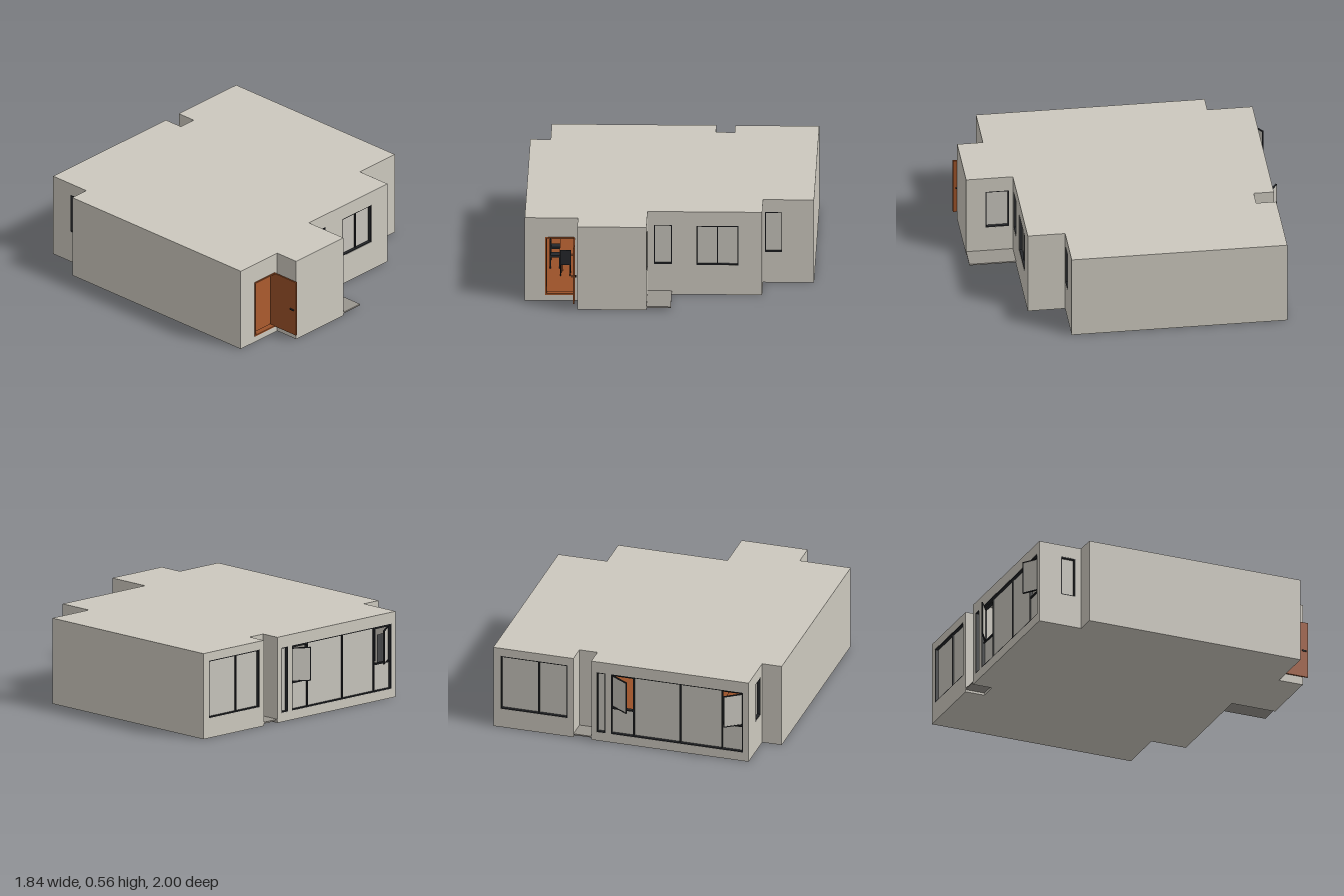
import * as THREE from 'three';

const mat = (name, color) => {
  const m = new THREE.MeshStandardMaterial({ color });
  m.name = name;
  return m;
};
const M = {
  wall: mat('plaster', 0xccc8be),
  glass: mat('pane', 0xc6c3bb),
  frame: mat('dark frame', 0x25272a),
  wood: mat('wood', 0x9a5128),
  ledge: mat('ledge grey', 0x99958e),
  curtain: mat('curtain grey', 0x85878a),
  white: mat('white', 0xe8e8e6),
};

const H = 0.56, BASE = 0.035, ROOF = 0.545, T = 0.035;

// Footprint as [x, z], running left to right along the front
const plan = [
  [-0.92, 0.81], [-0.58, 0.81], [-0.58, 0.975], [-0.14, 0.975], [-0.14, 0.675],
  [0.59, 0.675], [0.59, 0.435], [0.915, 0.435], [0.915, -0.95], [0.38, -0.95],
  [0.38, -0.82], [0.26, -0.82], [0.26, -0.95], [-0.79, -0.95], [-0.79, -0.66], [-0.92, -0.66],
];

// Openings by wall index: [u0, u1, y0, y1, mullions], u measured along the wall
const openings = {
  0: [{ r: [0.13, 0.32, 0.04, 0.43], kind: 'door' }],
  3: [{ r: [0.125, 0.275, 0.195, 0.46] }],
  4: [{ r: [0.04, 0.155, 0.205, 0.47] }, { r: [0.31, 0.58, 0.2, 0.465], mullions: [0.445] }],
  6: [{ r: [0.012, 0.122, 0.205, 0.475] }],
  8: [{ r: [0.05, 0.495, 0.13, 0.505], mullions: [0.3] }],
  12: [
    { r: [0.036, 0.095, 0.06, 0.485] },
    { r: [0.13, 1.012, 0.06, 0.485], mullions: [0.28, 0.59, 0.868], kind: 'sashes' },
  ],
  13: [{ r: [0.15, 0.25, 0.215, 0.48] }],
};

function add(parent, name, geometry, material, x = 0, y = 0, z = 0) {
  const mesh = new THREE.Mesh(geometry, material);
  mesh.name = name;
  mesh.position.set(x, y, z);
  parent.add(mesh);
  return mesh;
}

// Box given by its limits on each axis
function box(parent, name, material, x0, x1, y0, y1, z0, z1) {
  return add(parent, name, new THREE.BoxGeometry(x1 - x0, y1 - y0, z1 - z0), material,
    (x0 + x1) / 2, (y0 + y1) / 2, (z0 + z1) / 2);
}

function slab(parent, name, y0, y1) {
  const shape = new THREE.Shape(plan.map(([x, z]) => new THREE.Vector2(x, -z)));
  const g = new THREE.ExtrudeGeometry(shape, { depth: y1 - y0, bevelEnabled: false });
  g.rotateX(-Math.PI / 2);
  add(parent, name, g, M.wall, 0, y0, 0);
}

// Rectangular border of four bars
function border(parent, name, material, [u0, u1, y0, y1], w, z0, z1) {
  box(parent, name, material, u0, u0 + w, y0, y1, z0, z1);
  box(parent, name, material, u1 - w, u1, y0, y1, z0, z1);
  box(parent, name, material, u0 + w, u1 - w, y0, y0 + w, z0, z1);
  box(parent, name, material, u0 + w, u1 - w, y1 - w, y1, z0, z1);
}

function fillOpening(parent, { r, mullions = [], kind }) {
  const g = new THREE.Group();
  g.name = kind === 'door' ? 'doorFrame' : 'window';
  parent.add(g);
  if (kind === 'door') {
    border(g, 'doorFrame', M.wood, r, 0.01, -T, 0.004);
    return;
  }
  const [u0, u1, y0, y1] = r;
  border(g, 'windowFrame', M.frame, r, 0.006, -T, -0.001);
  for (const u of mullions) box(g, 'mullion', M.frame, u - 0.004, u + 0.004, y0, y1, -T, -0.012);
  const edges = [u0, ...mullions, u1];
  for (let i = 0; i + 1 < edges.length; i++) {
    const opened = kind === 'sashes' && (i === 0 || i + 2 === edges.length);
    box(g, 'windowPane', M.glass, edges[i], edges[i + 1], y0, opened ? 0.235 : y1, -0.027, -0.021);
    if (opened) {
      box(g, 'transom', M.frame, edges[i], edges[i + 1], 0.233, 0.242, -T, -0.012);
      box(g, 'headRail', M.frame, edges[i], edges[i + 1], 0.467, y1, -T, -0.015);
    }
  }
}

// Wall between two plan corners, with its openings cut through
function wall(parent, a, b, list) {
  const dx = b[0] - a[0], dz = b[1] - a[1], len = Math.hypot(dx, dz);
  const g = new THREE.Group();
  g.name = 'wall';
  g.position.set(a[0], 0, a[1]);
  g.rotation.y = Math.atan2(-dz, dx);
  parent.add(g);
  const rect = (S, [u0, u1, y0, y1]) => new S([[u0, y0], [u1, y0], [u1, y1], [u0, y1]]
    .map(([u, y]) => new THREE.Vector2(u, y)));
  const shape = rect(THREE.Shape, [0, len, BASE, ROOF]);
  for (const o of list) shape.holes.push(rect(THREE.Path, o.r));
  add(g, 'wallPanel', new THREE.ExtrudeGeometry(shape, { depth: T, bevelEnabled: false }), M.wall, 0, 0, -T);
  for (const o of list) fillOpening(g, o);
}

// Open casement swung outward from its hinge
function openSash(parent, x, z, tipX, tipZ) {
  const g = new THREE.Group();
  g.name = 'openSash';
  g.position.set(x, 0, z);
  g.rotation.y = Math.atan2(z - tipZ, tipX - x);
  parent.add(g);
  const len = Math.hypot(tipX - x, tipZ - z);
  border(g, 'sashFrame', M.frame, [0, len, 0.245, 0.465], 0.006, -0.005, 0.005);
  box(g, 'sashPane', M.glass, 0.005, len - 0.005, 0.25, 0.46, -0.003, 0.003);
}

function chair(parent, x, z, turn) {
  const g = new THREE.Group();
  g.name = 'chair';
  g.position.set(x, 0.038, z);
  g.rotation.y = turn;
  parent.add(g);
  box(g, 'chairSeat', M.frame, -0.035, 0.035, 0.075, 0.087, -0.035, 0.035);
  box(g, 'chairBack', M.frame, -0.035, 0.035, 0.087, 0.175, -0.035, -0.027);
  for (const sx of [-1, 1]) for (const sz of [-1, 1])
    box(g, 'chairLeg', M.frame, sx * 0.03 - 0.004, sx * 0.03 + 0.004, 0, 0.075, sz * 0.03 - 0.004, sz * 0.03 + 0.004);
}

export function createModel() {
  const house = new THREE.Group();
  house.name = 'house';

  // Shell
  slab(house, 'foundation', 0, BASE);
  slab(house, 'roof', ROOF, H);
  plan.forEach((p, i) => wall(house, p, plan[(i + 1) % plan.length], openings[i] || []));
  for (const [x0, x1, z0, z1] of [[-0.89, 0.56, -0.63, 0.645], [-0.76, 0.23, -0.92, -0.63], [-0.89, -0.17, 0.645, 0.78]])
    box(house, 'woodFloor', M.wood, x0, x1, BASE, 0.038, z0, z1);

  // Low ledges in the front corner and the rear notch
  box(house, 'frontLedge', M.ledge, -0.14, 0.015, 0.015, 0.024, 0.675, 0.975);
  box(house, 'rearLedge', M.ledge, 0.26, 0.38, 0.015, 0.024, -0.95, -0.82);

  // Rear casements
  openSash(house, 0.125, -0.924, 0.01, -0.998);
  openSash(house, -0.75, -0.918, -0.638, -0.998);

  // Front door standing open
  box(house, 'frontDoor', M.wood, -0.608, -0.598, 0.045, 0.425, 0.81, 1.0);
  for (const s of [-1, 1]) {
    const x = -0.603 + s * 0.012;
    box(house, 'doorHandle', M.frame, x - 0.004, x + 0.004, 0.22, 0.228, 0.955, 0.985);
  }

  // Dining corner
  add(house, 'tableTop', new THREE.BoxGeometry(0.22, 0.012, 0.34), M.wood, -0.6, 0.15, 0.2);
  for (const sx of [-1, 1]) for (const sz of [-1, 1])
    add(house, 'tableLeg', new THREE.BoxGeometry(0.014, 0.11, 0.014), M.wood, -0.6 + sx * 0.095, 0.092, 0.2 + sz * 0.15);
  for (const z of [0.12, 0.28]) {
    chair(house, -0.74, z, Math.PI / 2);
    chair(house, -0.46, z, -Math.PI / 2);
  }
  chair(house, -0.67, 0.42, Math.PI);
  const shade = add(house, 'pendantShade', new THREE.SphereGeometry(0.04, 20, 12), M.wood, -0.675, 0.34, 0.2);
  shade.scale.y = 0.45;
  add(house, 'pendantCord', new THREE.CylinderGeometry(0.002, 0.002, 0.19, 6), M.frame, -0.675, 0.45, 0.2);

  // Cabinets and curtains
  box(house, 'whiteCabinet', M.white, -0.69, -0.5, 0.038, 0.1, -0.5, -0.4);
  box(house, 'woodCabinet', M.wood, -0.65, -0.5, 0.1, 0.21, -0.5, -0.4);
  for (let i = 0; i < 5; i++)
    add(house, 'curtainFold', new THREE.CylinderGeometry(0.006, 0.006, 0.37, 8), M.curtain, -0.74 + i * 0.01, 0.225, -0.88);

  return house;
}
